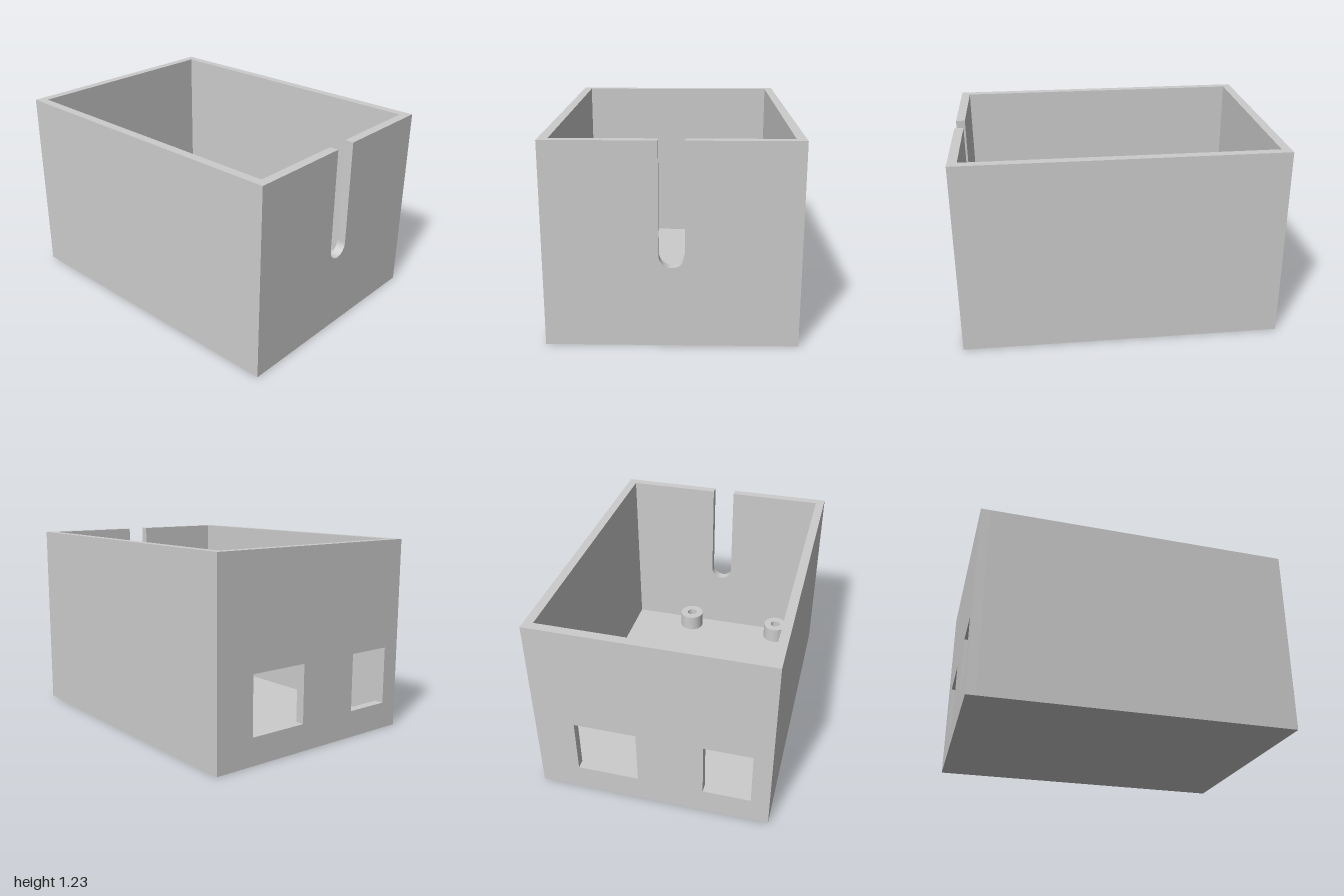
import * as THREE from 'three';
import { toCreasedNormals } from 'three/addons/utils/BufferGeometryUtils.js';

const W = 2, H = 1.225, D = 1.48, T = 0.057; // outer size and wall thickness

export function createModel() {
  const group = new THREE.Group();
  const grey = new THREE.MeshStandardMaterial({ color: 0xcccccc });
  grey.name = 'light grey';

  const add = (name, geometry, x, y, z) => {
    const mesh = new THREE.Mesh(geometry, grey);
    mesh.name = name;
    mesh.position.set(x, y, z);
    group.add(mesh);
    return mesh;
  };
  const extrude = (shape, depth) => toCreasedNormals(
    new THREE.ExtrudeGeometry(shape, { depth, bevelEnabled: false, curveSegments: 24 }), 0.5);

  // Floor and the two long walls
  const innerW = W - 2 * T, innerD = D - 2 * T;
  add('floor', new THREE.BoxGeometry(innerW, T, innerD), 0, T / 2, 0);
  for (const [name, s] of [['frontWall', 1], ['backWall', -1]]) {
    add(name, new THREE.BoxGeometry(innerW, H, T), 0, H / 2, s * (D - T) / 2);
  }

  // Left end wall with a round-bottomed cable slot open at the top
  const r = 0.075, slotY = 0.56, h = D / 2;
  const slotted = new THREE.Shape();
  slotted.moveTo(-h, 0);
  slotted.lineTo(h, 0);
  slotted.lineTo(h, H);
  slotted.lineTo(r, H);
  slotted.lineTo(r, slotY);
  slotted.absarc(0, slotY, r, 0, -Math.PI, true);
  slotted.lineTo(-r, H);
  slotted.lineTo(-h, H);
  slotted.closePath();
  add('slottedEndWall', extrude(slotted, T), W / 2 - T, 0, 0).rotation.y = Math.PI / 2;

  // Right end wall with two rectangular port openings (shape x runs along -z)
  const rect = (Type, x0, x1, y0, y1) => new Type([[x0, y0], [x1, y0], [x1, y1], [x0, y1]]
    .map(([x, y]) => new THREE.Vector2(x, y)));
  const ported = rect(THREE.Shape, -h, h, 0, H);
  for (const [z0, z1] of [[-0.485, -0.093], [0.324, 0.624]]) {
    ported.holes.push(rect(THREE.Path, -z1, -z0, 0.17, 0.537));
  }
  add('portEndWall', extrude(ported, T), -W / 2, 0, 0).rotation.y = Math.PI / 2;

  // Hollow mounting posts on the floor
  const posts = [
    [-0.40, -0.593, 0.073, 0.025], [-0.43, 0.594, 0.073, 0.025],
    [0.854, -0.219, 0.087, 0.035], [0.854, 0.47, 0.087, 0.035],
  ];
  for (const [x, z, outer, inner] of posts) {
    const ring = new THREE.Shape().absarc(0, 0, outer, 0, Math.PI * 2);
    ring.holes.push(new THREE.Path().absarc(0, 0, inner, 0, Math.PI * 2));
    add('mountingPost', extrude(ring, 0.115), x, T, z).rotation.x = -Math.PI / 2;
  }
  return group;
}
